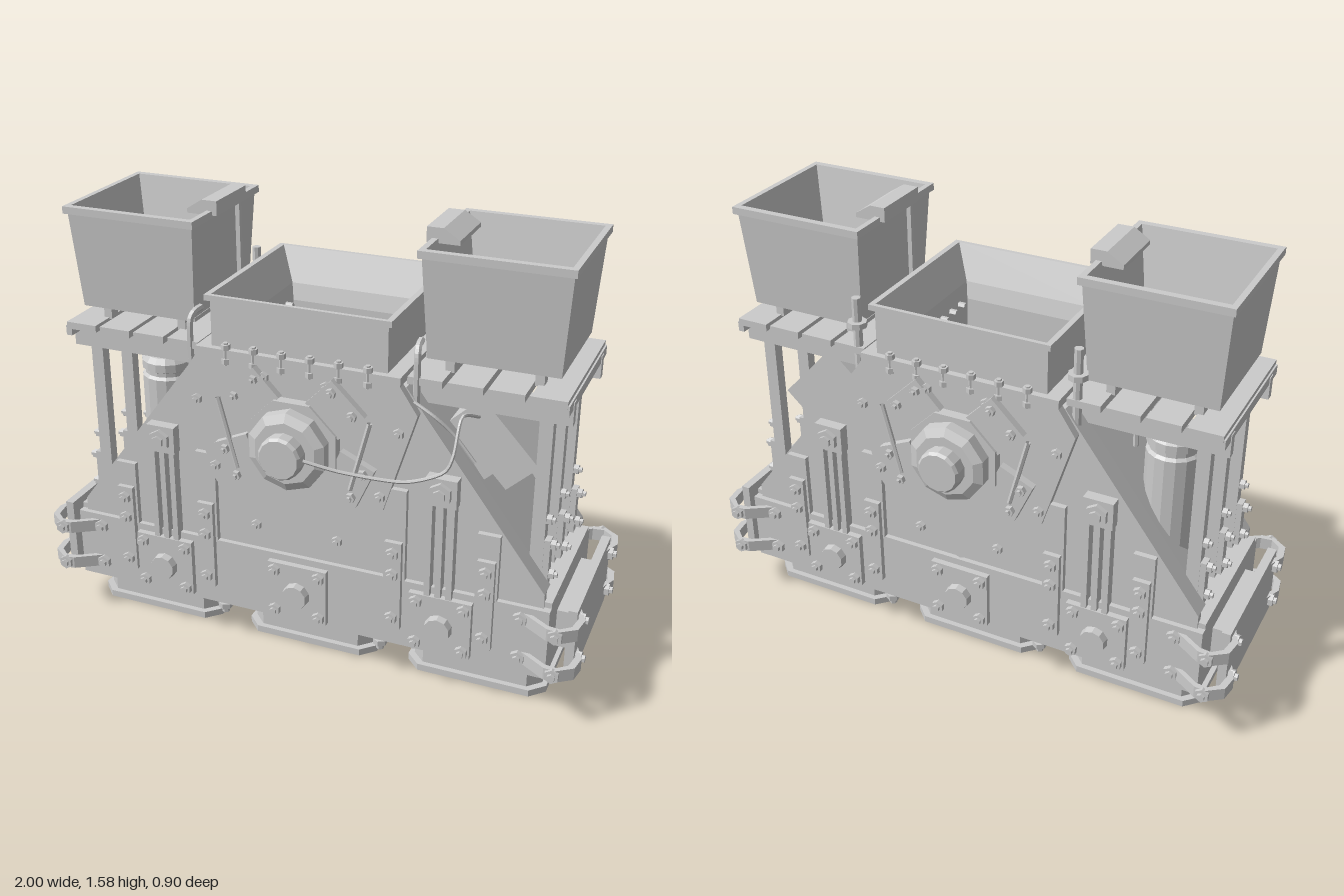
import * as THREE from 'three';

const mat = new THREE.MeshStandardMaterial({ color: 0xcccccc, flatShading: true, side: THREE.DoubleSide });

function add(parent, name, geo, x = 0, y = 0, z = 0) {
  const m = new THREE.Mesh(geo, mat);
  m.name = name;
  m.position.set(x, y, z);
  parent.add(m);
  return m;
}
// Box given by its limits on each axis
function box(parent, name, x0, x1, y0, y1, z0, z1) {
  return add(parent, name, new THREE.BoxGeometry(x1 - x0, y1 - y0, z1 - z0), (x0 + x1) / 2, (y0 + y1) / 2, (z0 + z1) / 2);
}
// Flat plate cut from an outline and pushed out along z
function plate(parent, name, pts, z0, z1, holes = []) {
  const s = new THREE.Shape(pts.map(p => new THREE.Vector2(...p)));
  for (const h of holes) s.holes.push(new THREE.Path(h.map(p => new THREE.Vector2(...p))));
  return add(parent, name, new THREE.ExtrudeGeometry(s, { depth: z1 - z0, bevelEnabled: false }), 0, 0, z0);
}
// Disc whose axis points along +z
function disc(parent, name, r0, r1, z0, z1, x, y, sides) {
  const m = add(parent, name, new THREE.CylinderGeometry(r1, r0, z1 - z0, sides), x, y, (z0 + z1) / 2);
  m.rotation.x = Math.PI / 2;
  return m;
}
function bolt(parent, x, y, z, r = 0.019) {
  disc(parent, 'boltHead', r, r, z, z + 0.017, x, y, 6);
  disc(parent, 'boltTip', r * 0.55, r * 0.55, z + 0.017, z + 0.028, x, y, 6);
}
function pipe(parent, name, pts, r, smooth = true) {
  const v = pts.map(p => new THREE.Vector3(...p));
  const c = new THREE.CatmullRomCurve3(v, false, 'catmullrom', smooth ? 0.4 : 0);
  return add(parent, name, new THREE.TubeGeometry(c, pts.length * 6, r, 6));
}
const octagon = (hx, hz, c) => [[hx, -hz + c], [hx, hz - c], [hx - c, hz], [-hx + c, hz],
  [-hx, hz - c], [-hx, -hz + c], [-hx + c, -hz], [hx - c, -hz]];
// Skin through rectangular rings with cut corners: [y, halfX, halfZ, cut]
function loft(rings) {
  const pos = [], idx = [];
  rings.forEach(([y, hx, hz, c = 0]) => octagon(hx, hz, c).forEach(([x, z]) => pos.push(x, y, z)));
  for (let i = 0; i < rings.length - 1; i++) for (let j = 0; j < 8; j++) {
    const a = i * 8 + j, b = i * 8 + (j + 1) % 8;
    idx.push(a, a + 8, b, b, a + 8, b + 8);
  }
  const g = new THREE.BufferGeometry();
  g.setAttribute('position', new THREE.Float32BufferAttribute(pos, 3));
  g.setIndex(idx);
  const flat = g.toNonIndexed();
  flat.computeVertexNormals();
  return flat;
}
const mirrored = pts => [...pts, ...pts.filter(p => p[0] !== 0).reverse().map(([x, y]) => [-x, y])];

// Everything fixed to one long face of the casing
function buildFace() {
  const f = new THREE.Group();
  plate(f, 'sidePlate', [[-0.86, 0.4], [0.86, 0.4], [0.86, 0.45], [0.37, 1.1], [-0.37, 1.1], [-0.86, 0.45]], 0.25, 0.278);
  box(f, 'lowerBand', -0.885, 0.885, 0.14, 0.4, 0.26, 0.296);
  plate(f, 'rotorCover', mirrored([[0, 0.42], [0.17, 0.48], [0.31, 0.66], [0.42, 1.02], [0.36, 1.11]]), 0.278, 0.308);
  for (const s of [-1, 1]) {
    // Flange folded inward along the sloping edge
    plate(f, 'slopeFlange', [[0.86, 0.45], [0.37, 1.1], [0.35, 1.1], [0.84, 0.44]].map(([x, y]) => [s * x, y]), 0.205, 0.278);
    for (const [x, y] of [[0.36, 0.95], [0.3, 0.71], [0.15, 0.51], [0.11, 1.07]]) bolt(f, s * x, y, 0.308);
    pipe(f, 'tieRod', [[s * 0.27, 0.98, 0.335], [s * 0.205, 0.73, 0.335]], 0.009, false);
    // Bearing lugs
    for (const a of [0.8, -0.42]) {
      const lug = new THREE.Group();
      lug.name = 'bearingLug';
      lug.position.set(s * 0.215 * Math.cos(a), 0.85 + 0.215 * Math.sin(a), 0);
      lug.rotation.z = s * a;
      box(lug, 'lugPlate', -0.065, 0.065, -0.08, 0.08, 0.305, 0.335);
      for (const t of [-1, 1]) bolt(lug, s * 0.035, t * 0.05, 0.335, 0.018);
      f.add(lug);
    }
  }
  // Rotor bearing
  disc(f, 'bearingFlange', 0.17, 0.17, 0.3, 0.345, 0, 0.85, 8).rotation.y = Math.PI / 8;
  disc(f, 'bearingBody', 0.14, 0.14, 0.345, 0.385, 0, 0.85, 10);
  disc(f, 'bearingShoulder', 0.14, 0.11, 0.385, 0.4, 0, 0.85, 10);
  disc(f, 'bearingCap', 0.076, 0.076, 0.395, 0.44, 0, 0.85, 14);
  disc(f, 'bearingCapEdge', 0.076, 0.068, 0.44, 0.45, 0, 0.85, 14);
  // Square hub plates
  for (const x of [-0.52, 0, 0.52]) {
    box(f, 'hubPlate', x - 0.11, x + 0.11, 0.162, 0.375, 0.29, 0.318);
    disc(f, 'hub', 0.05, 0.045, 0.31, 0.345, x, 0.262, 10);
    for (const s of [-1, 1]) for (const t of [-1, 1]) bolt(f, x + s * 0.083, 0.268 + t * 0.08, 0.318, 0.023);
  }
  for (const s of [-1, 1]) {
    // Tension rods
    for (const dx of [-0.038, 0, 0.038]) box(f, 'tensionRod', s * 0.51 + dx - 0.01, s * 0.51 + dx + 0.01, 0.375, 0.73, 0.27, 0.315);
    box(f, 'tensionHead', s * 0.51 - 0.053, s * 0.51 + 0.053, 0.72, 0.82, 0.27, 0.318);
    bolt(f, s * 0.51, 0.77, 0.318, 0.04);
    // Stiffeners with bolted straps
    for (const [x, top] of [[0.35, 0.74], [0.67, 0.64]]) {
      box(f, 'stiffener', s * x - 0.038, s * x + 0.038, 0.4, top, 0.27, 0.298);
      box(f, 'strap', s * x - 0.03, s * x + 0.03, 0.215, 0.55, 0.29, 0.316);
      for (const y of [0.26, 0.43, 0.51]) bolt(f, s * x, y, 0.316, 0.023);
    }
    // Bent corner clamps
    for (const y of [0.205, 0.355]) {
      const path = [[0.73, 0.296], [0.8, 0.296], [0.89, 0.355], [0.93, 0.36], [0.985, 0.32], [0.995, 0.26], [0.965, 0.19]];
      const inner = path.map(([x, z], i) => [x - (i > 3 ? 0.022 : 0), z - (i > 3 ? 0.008 : 0.02)]).reverse();
      const c = plate(f, 'cornerClamp', [...path, ...inner].map(([x, z]) => [s * x, z]), 0, 0.045);
      c.rotation.x = Math.PI / 2;
      c.position.y = y + 0.022;
      bolt(f, s * 0.79, y, 0.296, 0.026);
      bolt(f, s * 0.92, y, 0.35, 0.026);
      const end = new THREE.Group();
      end.name = 'clampEndBolt';
      end.rotation.y = s * Math.PI / 2;
      bolt(end, -s * 0.225, y, 0.972, 0.024);
      f.add(end);
    }
    // Underside and eave bolts
    add(f, 'footBolt', new THREE.CylinderGeometry(0.026, 0.026, 0.02, 6), s * 0.3, 0.128, 0.28);
    add(f, 'footBoltTip', new THREE.CylinderGeometry(0.014, 0.014, 0.02, 6), s * 0.3, 0.108, 0.28);
    for (const x of [0.05, 0.15, 0.25]) {
      add(f, 'flangeBolt', new THREE.CylinderGeometry(0.009, 0.009, 0.08, 6), s * x, 1.125, 0.302);
      for (const y of [1.1, 1.15]) add(f, 'flangeNut', new THREE.CylinderGeometry(0.016, 0.016, 0.018, 6), s * x, y, 0.302);
    }
  }
  return f;
}

// Raised platform and hopper on one end; s is the side
function buildEnd(s) {
  const e = new THREE.Group();
  const b = (name, x0, x1, ...r) => box(e, name, s > 0 ? x0 : -x1, s > 0 ? x1 : -x0, ...r);
  b('endWall', 0.855, 0.885, 0.14, 0.4, -0.27, 0.27);
  b('endDeck', 0.75, 0.885, 0.39, 0.42, -0.27, 0.27);
  b('endDoor', 0.937, 0.968, 0.14, 0.4, -0.26, 0.26);
  b('doorHinge', 0.88, 0.94, 0.2, 0.34, -0.18, 0.18);
  // Recessed sloping roof
  plate(e, 'slopingRoof', [[0.82, 0.4], [0.34, 1.05], [0.31, 1.05], [0.79, 0.4]].map(([x, y]) => [s * x, y]), -0.255, 0.255);
  // Posts
  for (const z of [-0.19, 0, 0.19]) {
    b('post', 0.785, 0.83, 0.4, 1.11, z - 0.02, z + 0.02);
    b('postFoot', 0.825, 0.85, 0.44, 0.61, z - 0.019, z + 0.019);
    const g = new THREE.Group();
    g.name = 'postBolts';
    g.rotation.y = s * Math.PI / 2;
    for (const [y, x] of [[0.48, 0.85], [0.59, 0.85], [0.68, 0.83], [1.09, 0.83]]) bolt(g, -s * z, y, x, 0.018);
    e.add(g);
  }
  // Platform
  for (const z of [-0.2, 0.2]) b('platformBeam', 0.39, 0.89, 1.03, 1.11, z - 0.015, z + 0.015);
  b('platformEdge', 0.865, 0.887, 1.085, 1.12, -0.27, 0.27);
  for (let i = 0; i < 4; i++) b('plank', 0.37 + i * 0.132, 0.485 + i * 0.132, 1.11, 1.135, -0.272, 0.272);
  for (const x of [0.48, 0.77]) for (const z of [-0.16, 0.16]) b('hopperLeg', x - 0.015, x + 0.015, 1.13, 1.19, z - 0.02, z + 0.02);
  b('hopperFloor', 0.41, 0.84, 1.18, 1.195, -0.21, 0.21);
  add(e, 'sideHopper', loft([[1.18, 0.215, 0.21], [1.515, 0.235, 0.235], [1.515, 0.245, 0.25], [1.54, 0.245, 0.25],
    [1.54, 0.225, 0.225], [1.195, 0.17, 0.17]]), s * 0.628);
  // Hood over the hopper rim, carried on a slim bar
  plate(e, 'rimHood', [[0.365, 1.575], [0.42, 1.575], [0.475, 1.54], [0.475, 1.525], [0.365, 1.525]].map(([x, y]) => [s * x, y]), -0.11, 0.11);
  b('hoodBar', 0.367, 0.383, 1.08, 1.53, s * 0.07 - 0.01, s * 0.07 + 0.01);
  // Upright pin at the rear and vent pipe at the front
  add(e, 'pin', new THREE.CylinderGeometry(0.016, 0.016, 0.3, 8), s * 0.4, 1.16, -0.255);
  add(e, 'pinCollar', new THREE.CylinderGeometry(0.034, 0.034, 0.02, 8), s * 0.4, 1.215, -0.255);
  pipe(e, 'ventPipe', [[s * 0.4, 1.0, 0.265], [s * 0.4, 1.19, 0.265], [s * 0.395, 1.23, 0.245], [s * 0.39, 1.235, 0.2]], 0.012);
  return e;
}

export function createModel() {
  const root = new THREE.Group();
  root.name = 'crushingMachine';
  const front = buildFace(), back = buildFace();
  front.name = 'frontFace';
  back.name = 'backFace';
  back.rotation.y = Math.PI;
  root.add(front, back);
  for (const s of [-1, 1]) {
    const e = buildEnd(s);
    e.name = s > 0 ? 'leftEnd' : 'rightEnd';
    root.add(e);
  }
  // Underside with three openings, and the outlets below it
  const centres = [-0.62, 0, 0.62];
  const floor = plate(root, 'underside', [[-0.885, -0.29], [0.885, -0.29], [0.885, 0.29], [-0.885, 0.29]], 0, 0.02,
    centres.map(x => octagon(0.185, 0.18, 0.085).map(([a, b]) => [a + x, b])));
  floor.rotation.x = Math.PI / 2;
  floor.position.y = 0.16;
  for (const x of centres) add(root, 'outlet', loft([[0.15, 0.185, 0.18, 0.085], [0, 0.215, 0.19, 0.06], [0, 0.25, 0.225, 0.05],
    [0.025, 0.25, 0.225, 0.05], [0.025, 0.232, 0.205, 0.045], [0.14, 0.232, 0.205, 0.045]]), x);
  // Central feed hopper and the shaft beneath it
  add(root, 'centralHopper', loft([[0.16, 0.24, 0.22], [1.14, 0.24, 0.22], [1.2, 0.25, 0.235], [1.32, 0.305, 0.285], [1.32, 0.325, 0.3],
    [1.3, 0.325, 0.3], [1.3, 0.31, 0.285], [1.14, 0.31, 0.285], [1.14, 0.36, 0.308], [1.11, 0.36, 0.308], [1.11, 0.24, 0.22]]));
  for (const s of [-1, 1]) for (let i = 0; i < 6; i++) {
    add(root, 'linerBolt', new THREE.CylinderGeometry(0.012, 0.012, 0.03, 6), s * 0.23, 1.14, -0.16 + i * 0.064).rotation.z = Math.PI / 2;
  }
  // Drive motor lying on the left slope
  const motor = new THREE.Group();
  motor.name = 'driveMotor';
  motor.position.set(0.678, 0.93, -0.02);
  motor.rotation.z = -0.82;
  box(motor, 'motorCase', -0.147, 0.147, -0.145, 0, -0.15, 0.15);
  box(motor, 'motorMount', -0.09, 0.09, -0.24, -0.14, -0.1, 0.1);
  root.add(motor);
  // Pressure tank on the right slope
  const tank = [[0, 0.5], [0.095, 0.5], [0.095, 0.88], [0.085, 0.89], [0.085, 0.905], [0.095, 0.91], [0.095, 0.94], [0.08, 0.96], [0.03, 0.965], [0.03, 0.99], [0, 0.99]];
  add(root, 'pressureTank', new THREE.LatheGeometry(tank.map(p => new THREE.Vector2(...p)), 16), -0.645, 0, 0);
  pipe(root, 'tankPipe', [[-0.645, 0.96, 0], [-0.64, 1.0, 0], [-0.61, 0.985, 0], [-0.53, 0.985, 0], [-0.51, 0.97, 0], [-0.51, 0.85, 0]], 0.01);
  // Sensor cable from the front bearing to the motor
  pipe(root, 'sensorCable', [[0.06, 0.85, 0.42], [0.2, 0.815, 0.385], [0.39, 0.8, 0.345], [0.51, 0.84, 0.315], [0.54, 0.9, 0.3], [0.545, 1.01, 0.24], [0.57, 0.97, 0.13]], 0.006);
  pipe(root, 'sensorLine', [[0.4, 1.06, 0.29], [0.47, 1.02, 0.29], [0.53, 0.96, 0.27], [0.6, 0.87, 0.26]], 0.006);
  return root;
}
